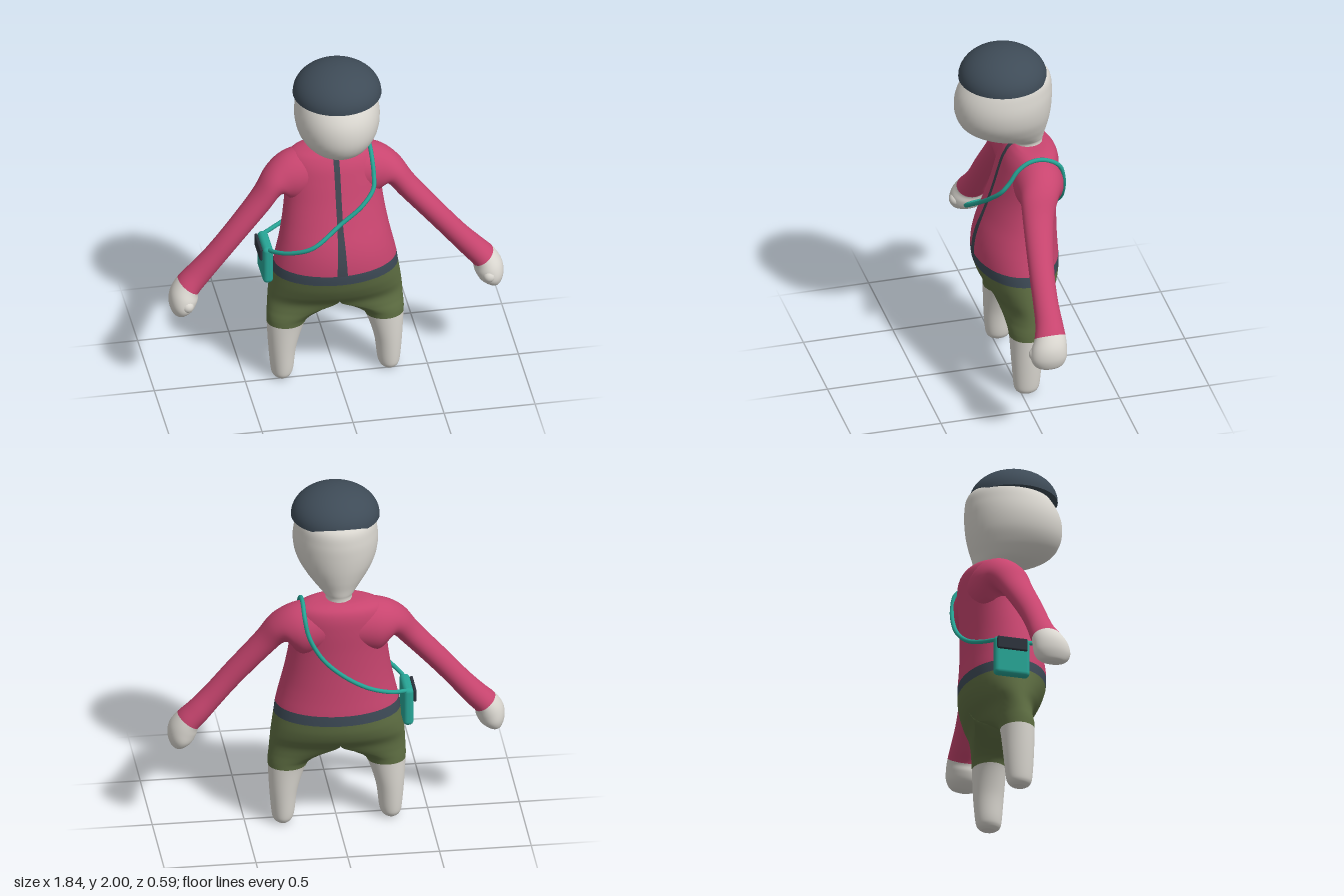
import * as THREE from 'three';
import { RoundedBoxGeometry } from 'three/addons/geometries/RoundedBoxGeometry.js';

const mat = (name, color, opts = {}) => new THREE.MeshStandardMaterial({ name, color, ...opts });
const V = (x, y, z) => new THREE.Vector3(x, y, z);
const SEG = 40, SUB = 6;

// Smooth in-between values of a list of cross-sections at position t
function sample(sections, t) {
  const n = sections.length - 1;
  const i = Math.min(Math.floor(t), n - 1), f = t - i;
  const at = k => sections[Math.max(0, Math.min(n, k))];
  return sections[i].map((b, k) => {
    const a = at(i - 1)[k], c = at(i + 1)[k], d = at(i + 2)[k];
    return b + 0.5 * f * (c - a + f * (2 * a - 5 * b + 4 * c - d + f * (3 * (b - c) + d - a)));
  });
}

// Skin rings through the sections; parts = [name, material, last section] share smooth normals
function loft(group, sections, ring, parts, { side = 1, bottom = false, top = false } = {}) {
  const rows = (sections.length - 1) * SUB, pos = [], all = [], chunks = [];
  for (let r = 0; r <= rows; r++) {
    const p = sample(sections, r / SUB);
    for (let j = 0; j < SEG; j++) {
      const v = ring(p, (j / SEG) * Math.PI * 2);
      pos.push(v.x * side, v.y, v.z);
    }
  }
  const cap = r => {
    const c = V(0, 0, 0);
    for (let j = 0; j < SEG; j++) c.add(V(...pos.slice((r * SEG + j) * 3, (r * SEG + j) * 3 + 3)));
    c.divideScalar(SEG);
    pos.push(c.x, c.y, c.z);
    return pos.length / 3 - 1;
  };
  const tri = (list, a, b, c) => (side > 0 ? list.push(a, b, c) : list.push(a, c, b));
  let r = 0;
  parts.forEach(([, , end], k) => {
    const list = [];
    const fan = (row, up) => {
      const c = cap(row);
      for (let j = 0; j < SEG; j++) {
        const a = row * SEG + j, b = row * SEG + (j + 1) % SEG;
        up ? tri(list, c, b, a) : tri(list, c, a, b);
      }
    };
    if (bottom && k === 0) fan(0, false);
    for (; r < end * SUB; r++) for (let j = 0; j < SEG; j++) {
      const a = r * SEG + j, b = r * SEG + (j + 1) % SEG;
      tri(list, a, a + SEG, b);
      tri(list, b, a + SEG, b + SEG);
    }
    if (top && k === parts.length - 1) fan(rows, true);
    chunks.push(list);
    for (const i of list) all.push(i);
  });
  const base = new THREE.BufferGeometry();
  base.setAttribute('position', new THREE.Float32BufferAttribute(pos, 3));
  base.setIndex(all);
  base.computeVertexNormals();
  // Keep shading continuous where two mirrored halves meet
  const nor = base.attributes.normal;
  for (let i = 0; i < nor.count; i++) if (ring === halfRing && Math.abs(pos[i * 3]) < 1e-4) {
    const n = V(0, nor.getY(i), nor.getZ(i)).normalize();
    nor.setXYZ(i, n.x, n.y, n.z);
  }
  parts.forEach(([name, material], k) => {
    const g = new THREE.BufferGeometry();
    g.setAttribute('position', base.attributes.position);
    g.setAttribute('normal', nor);
    g.setIndex(chunks[k]);
    add(group, name, g, material);
  });
}

function add(group, name, geometry, material, x = 0, y = 0, z = 0) {
  const m = new THREE.Mesh(geometry, material);
  m.name = name;
  m.position.set(x, y, z);
  group.add(m);
  return m;
}

// Oval ring: [y, half width, front z, back z]
const ovalRing = ([y, rx, zf, zb], a) =>
  V(rx * Math.cos(a), y, (zf + zb) / 2 + (zf - zb) / 2 * Math.sin(a));
// Half-body ring: [y, centre x, inner radius, outer radius, front z, back z]
const halfRing = ([y, cx, ri, ro, zf, zb], a) => {
  const c = Math.cos(a);
  return V(Math.max(0, cx + c * (c > 0 ? ro : ri)), y, (zf + zb) / 2 + (zf - zb) / 2 * Math.sin(a));
};
// Limb ring: [upper x, upper y, lower x, lower y, centre z, half depth]
const limbRing = ([ux, uy, lx, ly, z, rz], a) => {
  const c = Math.cos(a) / 2;
  return V((ux + lx) / 2 + (ux - lx) * c, (uy + ly) / 2 + (uy - ly) * c, z + rz * Math.sin(a));
};

export function createModel() {
  const model = new THREE.Group();
  model.name = 'figure';
  const skin = mat('paleSkin', 0xdbd8d1), pink = mat('pinkJacket', 0xc8456f);
  const olive = mat('oliveShorts', 0x5f6f43), slate = mat('slateTrim', 0x3e4b57);
  const trim = mat('slateZip', 0x3e4651, { side: THREE.DoubleSide });
  const teal = mat('tealBag', 0x27a596), dark = mat('darkFlap', 0x2d333d);

  // Jacket body with hem band
  const torso = [
    [0.68, 0.345, 0.18, -0.275], [0.74, 0.336, 0.185, -0.275], [0.82, 0.318, 0.178, -0.27],
    [0.9, 0.3, 0.158, -0.267], [1.0, 0.282, 0.12, -0.266], [1.12, 0.267, 0.078, -0.27],
    [1.24, 0.265, 0.043, -0.278], [1.32, 0.255, 0.018, -0.278], [1.37, 0.225, -0.01, -0.262],
    [1.395, 0.16, -0.035, -0.225], [1.402, 0.08, -0.045, -0.195]];
  loft(model, torso, ovalRing, [['hemBand', slate, 1], ['jacket', pink, 10]], { top: true });

  // Zip strip laid over the jacket front
  const strip = [], idx = [], steps = 54;
  for (let i = 0; i <= steps; i++) {
    const [y, rx, zf, zb] = sample(torso, 1 + (i / steps) * 8.9);
    const w = 0.016 + 0.013 * Math.max(0, (1 - y) / 0.26);
    for (const x of [-w, 0, w])
      strip.push(x, y + (y > 1.36 ? 0.004 : 0), (zf + zb) / 2 + (zf - zb) / 2 * Math.sqrt(1 - (x / rx) ** 2) + 0.005);
    if (i < steps) for (const k of [0, 1]) {
      const a = i * 3 + k;
      idx.push(a, a + 1, a + 3, a + 1, a + 4, a + 3);
    }
  }
  const zip = new THREE.BufferGeometry();
  zip.setAttribute('position', new THREE.Float32BufferAttribute(strip, 3));
  zip.setIndex(idx);
  zip.computeVertexNormals();
  add(model, 'zip', zip, trim);

  // Head and neck in one skin
  loft(model, [
    [1.37, 0.075, -0.04, -0.2], [1.415, 0.072, -0.04, -0.2], [1.44, 0.092, 0.02, -0.206],
    [1.475, 0.13, 0.14, -0.213], [1.53, 0.175, 0.232, -0.227], [1.6, 0.213, 0.276, -0.24],
    [1.68, 0.23, 0.286, -0.248], [1.76, 0.226, 0.268, -0.249], [1.84, 0.205, 0.215, -0.232],
    [1.9, 0.15, 0.15, -0.16]], ovalRing, [['head', skin, 9]], { top: true });

  // Domed cap with flat underside
  const dome = [new THREE.Vector2(0, 1.83), new THREE.Vector2(0.24, 1.83), new THREE.Vector2(0.24, 1.83)];
  for (let i = 0; i <= 16; i++) {
    const a = (i / 16) * Math.PI / 2;
    dome.push(new THREE.Vector2(0.24 * Math.cos(a), 1.835 + 0.165 * Math.sin(a)));
  }
  add(model, 'cap', new THREE.LatheGeometry(dome, 48), slate, 0, 0, 0.02);

  for (const side of [1, -1]) {
    const s = side > 0 ? 'left' : 'right';
    // Leg flowing up into one half of the shorts
    loft(model, [
      [0, 0.295, 0.03, 0.03, 0.005, -0.075], [0.018, 0.295, 0.05, 0.05, 0.027, -0.095],
      [0.06, 0.295, 0.064, 0.06, 0.038, -0.107], [0.2, 0.29, 0.077, 0.077, 0.048, -0.12],
      [0.35, 0.27, 0.105, 0.105, 0.055, -0.13], [0.4, 0.235, 0.115, 0.141, 0.06, -0.14],
      [0.445, 0.15, 0.1, 0.223, 0.068, -0.16], [0.5, 0.02, 0.02, 0.35, 0.09, -0.195],
      [0.56, 0, 0, 0.364, 0.13, -0.24], [0.62, 0, 0, 0.355, 0.16, -0.265],
      [0.68, 0, 0, 0.345, 0.18, -0.275]], halfRing,
    [[s + 'Leg', skin, 4], [s + 'Shorts', olive, 10]], { side, bottom: true });
    // Hand flowing up into the sleeve and shoulder
    loft(model, [
      [0.882, 0.487, 0.85, 0.485, -0.01, 0.03], [0.903, 0.505, 0.822, 0.495, -0.01, 0.072],
      [0.918, 0.56, 0.785, 0.522, -0.01, 0.098], [0.908, 0.625, 0.762, 0.566, -0.015, 0.098],
      [0.865, 0.69, 0.752, 0.607, -0.027, 0.085], [0.8, 0.755, 0.706, 0.66, -0.035, 0.074],
      [0.715, 0.845, 0.637, 0.745, -0.037, 0.068], [0.6, 0.983, 0.53, 0.875, -0.045, 0.07],
      [0.45, 1.165, 0.365, 1.065, -0.072, 0.084], [0.372, 1.28, 0.285, 1.15, -0.1, 0.105],
      [0.29, 1.35, 0.235, 1.1, -0.122, 0.125], [0.2, 1.382, 0.19, 1.08, -0.13, 0.137],
      [0.08, 1.393, 0.1, 1.1, -0.13, 0.138]], limbRing,
    [[s + 'Hand', skin, 4], [s + 'Sleeve', pink, 12]], { side, bottom: true });
    add(model, s + 'Thumb', new THREE.SphereGeometry(0.036, 20, 14), skin, 0.83 * side, 0.565, 0.06);
  }

  // Shoulder strap looping from the bag across chest and back
  const strap = new THREE.CatmullRomCurve3([
    V(-0.37, 0.825, -0.02), V(-0.345, 0.84, 0.03), V(-0.27, 0.88, 0.12), V(-0.16, 0.94, 0.182),
    V(0, 1.05, 0.142), V(0.12, 1.14, 0.12), V(0.19, 1.215, 0.075), V(0.2, 1.27, 0.035),
    V(0.2, 1.34, -0.012), V(0.2, 1.385, -0.08), V(0.2, 1.388, -0.16), V(0.2, 1.34, -0.243),
    V(0.18, 1.24, -0.273), V(0.11, 1.11, -0.285), V(0, 1, -0.286), V(-0.14, 0.905, -0.268),
    V(-0.27, 0.85, -0.23), V(-0.37, 0.825, -0.18)]);
  add(model, 'strap', new THREE.TubeGeometry(strap, 140, 0.012, 8), teal);

  // Side bag with dark flap on its outer face
  add(model, 'bag', new RoundedBoxGeometry(0.056, 0.225, 0.2, 4, 0.024), teal, -0.372, 0.728, -0.1);
  add(model, 'bagFlap', new RoundedBoxGeometry(0.018, 0.072, 0.17, 3, 0.008), dark, -0.408, 0.793, -0.105);
  return model;
}
